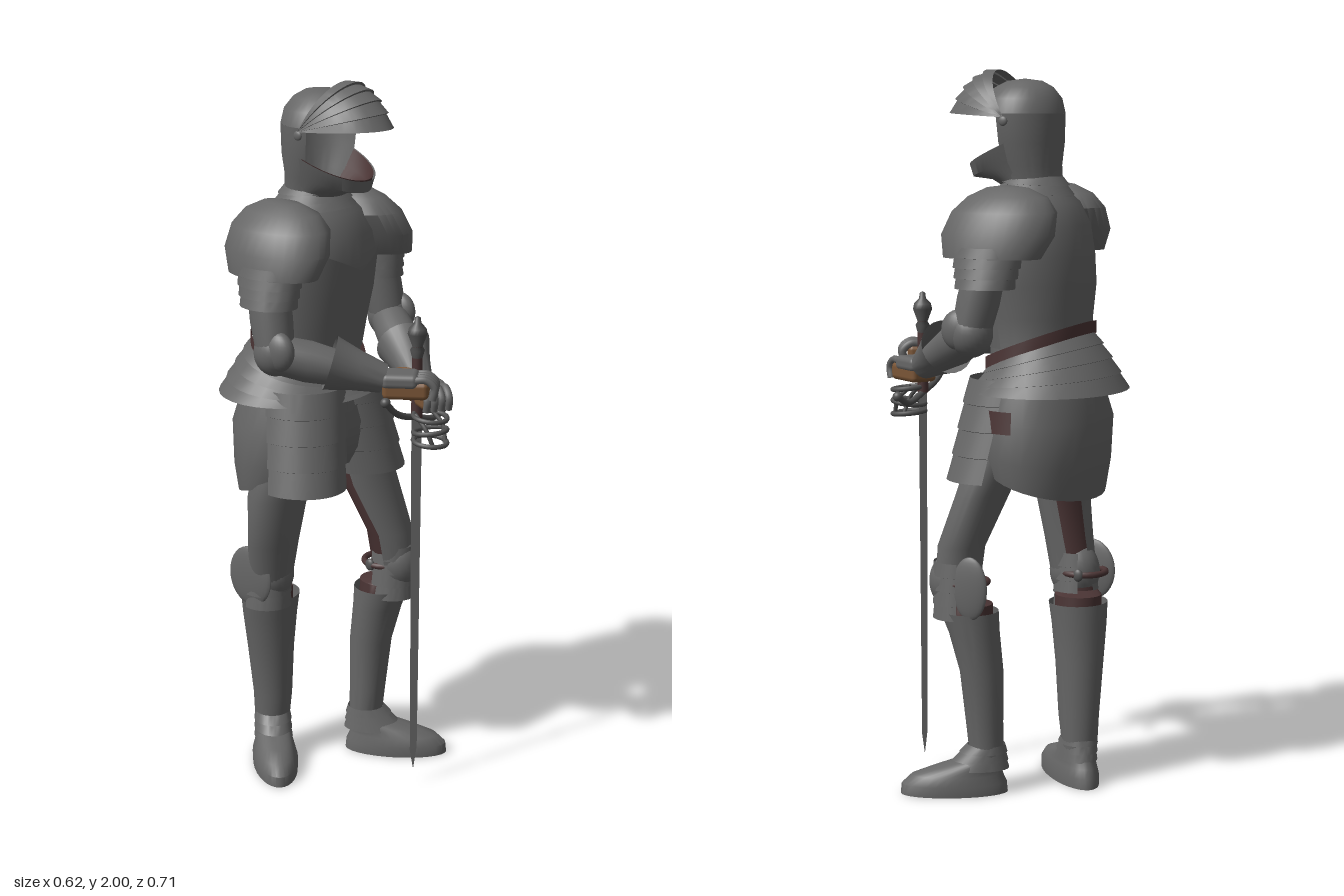
import * as THREE from 'three';
import { toCreasedNormals } from 'three/addons/utils/BufferGeometryUtils.js';
import { RoundedBoxGeometry } from 'three/addons/geometries/RoundedBoxGeometry.js';

const mat = (name, color) => new THREE.MeshStandardMaterial({ name, color, side: THREE.DoubleSide });
const rad = THREE.MathUtils.degToRad;
const V = (p) => new THREE.Vector3(...p);

// Skin over elliptical rings [y, cx, cz, rx, rz, tilt, vee]; angles run from +z towards +x
function loft(rings, from = 0, to = 360, segs = 32) {
  const list = rings[0][0] > rings[rings.length - 1][0] ? [...rings].reverse() : rings;
  const closed = to - from === 360, n = closed ? segs : segs + 1, pos = [], idx = [];
  for (const [y, cx, cz, rx, rz, tilt = 0, vee = 0] of list)
    for (let i = 0; i < n; i++) {
      const a = rad(from + (to - from) * i / segs), d = rz * Math.cos(a);
      pos.push(cx + rx * Math.sin(a), y + d * Math.sin(tilt) + vee * Math.abs(Math.sin(a)), cz + d * Math.cos(tilt));
    }
  for (let j = 0; j < list.length - 1; j++)
    for (let i = 0; i < segs; i++) {
      const a = j * n + i, b = j * n + (i + 1) % n;
      idx.push(a, b, b + n, a, b + n, a + n);
    }
  const g = new THREE.BufferGeometry();
  g.setAttribute('position', new THREE.Float32BufferAttribute(pos, 3));
  g.setIndex(idx);
  return toCreasedNormals(g, 0.7);
}

// Overlapping plates between two rings: the lower edge of each stands out by lip
function lames(low, high, count, lip) {
  const out = [], at = (t) => low.map((v, i) => v + ((high[i] ?? 0) - v) * t);
  for (let i = 0; i < count; i++) {
    const a = at(i / count), b = at((i + 0.97) / count);
    a[3] += lip; a[4] += lip;
    out.push(a, b);
  }
  return out;
}

export function createModel() {
  const model = new THREE.Group();
  model.name = 'armouredKnight';
  const steel = mat('steel', 0x666666), blade = mat('bladeSteel', 0x8c8c8c);
  const lining = mat('darkLeather', 0x4a3434), leather = mat('tanLeather', 0x7a5536), dark = mat('darkIron', 0x525252);

  const add = (name, geo, m = steel, parent = model) => {
    const mesh = new THREE.Mesh(geo, m);
    mesh.name = name;
    parent.add(mesh);
    return mesh;
  };
  const ball = (name, p, r, m = steel, parent = model) => {
    const mesh = add(name, new THREE.SphereGeometry(1, 24, 16), m, parent);
    mesh.position.set(...p);
    mesh.scale.set(...r);
    return mesh;
  };
  // Straight limb from a to b with a profile of [t, radius]
  const limb = (name, a, b, profile) => {
    const d = V(b).sub(V(a)), len = d.length();
    const mesh = add(name, loft(profile.map(([t, r]) => [t * len, 0, 0, r, r]), 0, 360, 24));
    mesh.position.set(...a);
    mesh.quaternion.setFromUnitVectors(new THREE.Vector3(0, 1, 0), d.normalize());
  };
  const tube = (name, pts, r, m = steel, parent = model) =>
    add(name, new THREE.TubeGeometry(new THREE.CatmullRomCurve3(pts.map(V)), 20, r, 8), m, parent);

  // Helmet: open-faced skull, lined chin guard and raised visor
  add('helmetBack', loft([[1.69, 0, -0.085, 0.085, 0.08], [1.74, 0, -0.075, 0.094, 0.087],
    [1.8, 0, -0.06, 0.112, 0.108], [1.88, 0, -0.055, 0.117, 0.115]], 75, 285));
  add('helmetCrown', loft([[1.88, 0, -0.055, 0.117, 0.115], [1.92, 0, -0.056, 0.106, 0.105],
    [1.95, 0, -0.058, 0.078, 0.08], [1.967, 0, -0.06, 0.045, 0.048], [1.973, 0, -0.06, 0.001, 0.001]]));
  add('helmetLining', loft([[1.76, 0, -0.07, 0.096, 0.09], [1.8, 0, -0.06, 0.108, 0.104],
    [1.875, 0, -0.055, 0.113, 0.111]], -104, -76, 10), lining);
  const chin = [[1.8, 0, -0.05, 0.115, 0.16, -0.4], [1.75, 0, -0.055, 0.1, 0.15, -0.3],
    [1.71, 0, -0.07, 0.085, 0.1, -0.1], [1.68, 0, -0.085, 0.08, 0.075]];
  add('chinGuard', loft(chin, -90, 90));
  add('chinLining', loft(chin.slice(0, 3).map(([y, x, z, rx, rz, t]) => [y, x, z, rx - 0.005, rz - 0.006, t]), -88, 88), lining);
  const visor = [];
  for (let i = 0; i < 5; i++) {
    const t = 0.05 + i * 0.21, r = 0.2 - i * 0.012;
    visor.push([1.87, 0, -0.05, 0.121, r + 0.012, t], [1.87, 0, -0.05, 0.118, r - 0.008, t + 0.2]);
  }
  add('visor', loft(visor, -90, 90));
  for (const s of [-1, 1]) ball('visorPivot', [s * 0.118, 1.86, -0.05], [0.006, 0.013, 0.013]);

  // Neck plates and body
  add('gorget', loft(lames([1.62, 0, -0.095, 0.14, 0.12, 0.1], [1.715, 0, -0.09, 0.078, 0.076, 0.05], 4, 0.007)));
  add('cuirass', loft([[1.16, 0, -0.11, 0.175, 0.13], [1.25, 0, -0.11, 0.165, 0.133], [1.33, 0, -0.105, 0.172, 0.143],
    [1.42, 0, -0.1, 0.188, 0.156], [1.5, 0, -0.09, 0.198, 0.16], [1.58, 0, -0.09, 0.19, 0.146],
    [1.64, 0, -0.09, 0.155, 0.118], [1.675, 0, -0.09, 0.1, 0.085]]));
  add('bellyPlate', loft([[1.25, 0, -0.11, 0.168, 0.139], [1.33, 0, -0.105, 0.176, 0.149],
    [1.42, 0, -0.1, 0.192, 0.162], [1.49, 0, -0.09, 0.202, 0.166, 0, 0.09]], -70, 70));
  add('belt', loft([[1.232, 0, -0.11, 0.18, 0.157, -0.36], [1.265, 0, -0.11, 0.178, 0.157, -0.36]]), lining);
  add('waistSkirt', loft(lames([1.13, 0, -0.14, 0.245, 0.205, 0], [1.24, 0, -0.11, 0.175, 0.146, -0.36], 4, 0.006)));
  add('waistSkirtLining', loft([[1.134, 0, -0.14, 0.24, 0.2], [1.165, 0, -0.135, 0.215, 0.175, -0.1]], 75, 285), lining);
  add('hipLining', loft([[0.9, 0, -0.11, 0.18, 0.11], [1.0, 0, -0.12, 0.205, 0.14], [1.15, 0, -0.11, 0.18, 0.13]]), lining);
  add('hipSkirt', loft([[0.88, 0, -0.13, 0.225, 0.155, 0.3], [0.95, 0, -0.125, 0.237, 0.171, 0.15],
    [1.05, 0, -0.125, 0.233, 0.178], [1.16, 0, -0.12, 0.2, 0.15]]));
  add('hipStrap', loft([[1.03, 0, -0.125, 0.242, 0.187], [1.09, 0, -0.125, 0.236, 0.183]], 64, 92, 10), lining);

  // Shoulders, arms, thigh flaps and gauntlets, mirrored
  for (const s of [-1, 1]) {
    const side = s > 0 ? 'left' : 'right';
    const arc = s > 0 ? [-85, 100] : [-100, 60];
    add(side + 'Tasset', loft(lames([0.89, s * 0.137, -0.03, 0.115, 0.125], [1.17, s * 0.08, -0.075, 0.125, 0.13], 4, 0.005), ...arc, 24));
    add(side + 'Pauldron', loft([[1.5, s * 0.212, -0.062, 0.083, 0.14], [1.56, s * 0.188, -0.068, 0.1, 0.162],
      [1.62, s * 0.162, -0.075, 0.1, 0.15], [1.66, s * 0.15, -0.08, 0.07, 0.115],
      [1.685, s * 0.15, -0.08, 0.03, 0.06], [1.692, s * 0.152, -0.08, 0.001, 0.001]]));
    add(side + 'ShoulderLames', loft(lames([1.42, s * 0.24, -0.055, 0.062, 0.078], [1.53, s * 0.225, -0.06, 0.07, 0.1], 4, 0.006)));
    const elbow = [s * 0.255, 1.295, -0.02], wrist = [s * 0.08, s > 0 ? 1.185 : 1.228, 0.21];
    limb(side + 'UpperArm', elbow, [s * 0.24, 1.48, -0.06], [[0, 0.052], [0.5, 0.058], [1, 0.055]]);
    ball(side + 'ElbowCop', [s * 0.255, 1.3, -0.022], [0.056, 0.065, 0.06]);
    ball(side + 'ElbowWing', [s * 0.275, 1.31, 0.005], [0.03, 0.055, 0.05]);
    limb(side + 'Forearm', elbow, wrist, [[0, 0.053], [0.3, 0.057], [0.7, 0.045], [1, 0.034]]);
    limb(side + 'GauntletCuff', V(elbow).lerp(V(wrist), 0.5).add(V([0, 0.01, 0])).toArray(), wrist,
      [[0, 0.076], [0.03, 0.074], [0.5, 0.055], [1, 0.04]]);

    const hand = new THREE.Group();
    hand.name = side + 'Hand';
    hand.position.set(...wrist);
    hand.rotation.y = -s * 0.55;
    model.add(hand);
    add('handPlate', new RoundedBoxGeometry(0.088, 0.042, 0.1, 3, 0.016), steel, hand).position.z = 0.045;
    add('palm', new RoundedBoxGeometry(0.08, 0.05, 0.125, 2, 0.014), leather, hand).position.set(0, -0.025, 0.06);
    for (let i = 0; i < 4; i++) {
      const x = -0.032 + i * 0.0213;
      tube('finger', [[x, 0.004, 0.08], [x, 0.006, 0.115], [x, -0.015, 0.138], [x, -0.048, 0.132]], 0.0108, steel, hand);
    }
    tube('thumb', [[-s * 0.035, 0, 0.01], [-s * 0.055, 0.005, 0.045], [-s * 0.05, 0, 0.085]], 0.013, leather, hand);
  }

  // Legs: the left stands forward, the right back and turned out
  const legs = [
    { side: 'left', s: 1, turn: 0.52, len: 0.15, mid: 0.09, ankle: [0.137, 0, -0.008], knee: [0.165, 0.6, 0.075],
      wing: [0.222, 0.595, 0.0], wingDepth: 0.052, cover: [-75, 195],
      shin: [[0.1, 0.137, -0.01, 0.05, 0.047], [0.2, 0.14, -0.004, 0.052, 0.052], [0.35, 0.15, 0, 0.063, 0.06],
        [0.46, 0.155, 0.02, 0.073, 0.07], [0.52, 0.158, 0.034, 0.079, 0.082]],
      thigh: [[0.55, 0.165, 0.07, 0.055, 0.062], [0.7, 0.155, 0.058, 0.073, 0.065],
        [0.85, 0.135, 0.0, 0.098, 0.07], [1.0, 0.11, -0.05, 0.09, 0.08]] },
    { side: 'right', s: -1, turn: -0.8, len: 0.165, mid: 0.075, ankle: [-0.057, 0, -0.205], knee: [-0.112, 0.6, -0.165],
      wing: [-0.168, 0.595, -0.19], wingDepth: 0.075, cover: [-200, 105],
      shin: [[0.1, -0.055, -0.208, 0.05, 0.049], [0.2, -0.056, -0.204, 0.054, 0.058], [0.35, -0.068, -0.2, 0.066, 0.068],
        [0.46, -0.076, -0.195, 0.08, 0.077], [0.52, -0.08, -0.19, 0.088, 0.082]],
      thigh: [[0.55, -0.11, -0.17, 0.055, 0.065], [0.7, -0.125, -0.14, 0.078, 0.067],
        [0.85, -0.137, -0.112, 0.1, 0.074], [1.0, -0.11, -0.1, 0.09, 0.08]] },
  ];
  for (const { side, s, turn, len, mid, ankle, knee, wing, wingDepth, cover, shin, thigh } of legs) {
    add(side + 'Greave', loft(shin));
    add(side + 'ThighPlate', loft(thigh, ...cover));
    add(side + 'Hose', loft([[0.5, ...shin[4].slice(1, 3), 0.064, 0.066], [0.54, ...shin[4].slice(1, 3), 0.062, 0.066],
      ...thigh.map(([y, x, z, rx, rz]) => [y, x, z, rx * 0.92, rz * 0.92])]), lining);
    ball(side + 'KneeCop', knee, [0.063, 0.082, 0.073]);
    add(side + 'KneeLames', loft(lames([0.5, knee[0], knee[2] - 0.012, 0.066, 0.068],
      [0.66, knee[0], knee[2] - 0.012, 0.064, 0.07], 4, 0.004), -110, 110));
    ball(side + 'KneeWing', wing, [0.014, 0.088, wingDepth]);
    const strap = add(side + 'KneeStrap', new THREE.TorusGeometry(0.062, 0.009, 8, 24), lining);
    strap.rotation.x = Math.PI / 2;
    strap.position.set(knee[0] - s * 0.005, 0.6, knee[2] - 0.03);
    ball(side + 'StrapBuckle', [knee[0] - s * 0.068, 0.6, knee[2] - 0.04], [0.009, 0.018, 0.015], dark);

    // Broad-toed armoured shoe with ankle plates
    const foot = new THREE.Group();
    foot.name = side + 'Foot';
    foot.position.set(...ankle);
    foot.rotation.y = turn;
    model.add(foot);
    add('shoe', loft([[0, 0, mid, 0.001, 0.001], [0.001, 0, mid, 0.064, len], [0.03, 0, mid, 0.065, len - 0.003],
      [0.055, 0, mid - 0.008, 0.058, len - 0.022], [0.075, 0, mid * 0.6, 0.052, len * 0.65],
      [0.1, 0, 0.006, 0.047, 0.06]]), steel, foot);
    add('anklePlates', loft(lames([0.07, 0, 0.025, 0.052, 0.085], [0.14, 0, 0, 0.05, 0.052], 3, 0.004)), steel, foot);
  }

  // Sword held point down
  const sword = new THREE.Group();
  sword.name = 'sword';
  sword.position.set(0.025, 0, 0.245);
  model.add(sword);
  const flat = (top, low, y0, y1) => {
    const g = new THREE.CylinderGeometry(top, low, y1 - y0, 4).toNonIndexed();
    g.computeVertexNormals();
    g.translate(0, (y0 + y1) / 2, 0).scale(1, 1, 0.2);
    return g;
  };
  add('blade', flat(0.025, 0.017, 0.11, 1.1), blade, sword);
  add('bladeTip', flat(0.017, 0.001, 0.05, 0.11), blade, sword);
  add('grip', new THREE.CylinderGeometry(0.014, 0.016, 0.22, 16), lining, sword).position.y = 1.21;
  add('pommel', new THREE.LatheGeometry([[0, 1.385], [0.008, 1.38], [0.01, 1.365], [0.024, 1.35], [0.027, 1.335],
    [0.014, 1.3], [0.02, 1.29], [0.012, 1.26]].map((p) => new THREE.Vector2(...p)), 20), dark, sword);
  tube('crossGuard', [[-0.145, 1.175, 0], [-0.09, 1.13, 0], [0, 1.1, 0], [0.09, 1.08, 0], [0.15, 1.105, 0]], 0.009, dark, sword);
  for (const [x, y] of [[-0.145, 1.175], [0.15, 1.105]]) ball('guardKnob', [x, y, 0], [0.014, 0.014, 0.014], dark, sword);
  for (const [y, tilt] of [[1.11, 0.12], [1.07, -0.12], [1.04, 0.1]]) {
    const ring = add('guardRing', new THREE.TorusGeometry(0.046, 0.007, 8, 28), dark, sword);
    ring.position.set(0, y, 0.045);
    ring.rotation.x = Math.PI / 2 + tilt;
  }
  for (const x of [-0.035, 0.035])
    tube('guardBar', [[x, 1.12, 0.02], [x * 1.1, 1.08, 0.06], [x * 0.8, 1.035, 0.075]], 0.006, dark, sword);

  return model;
}
